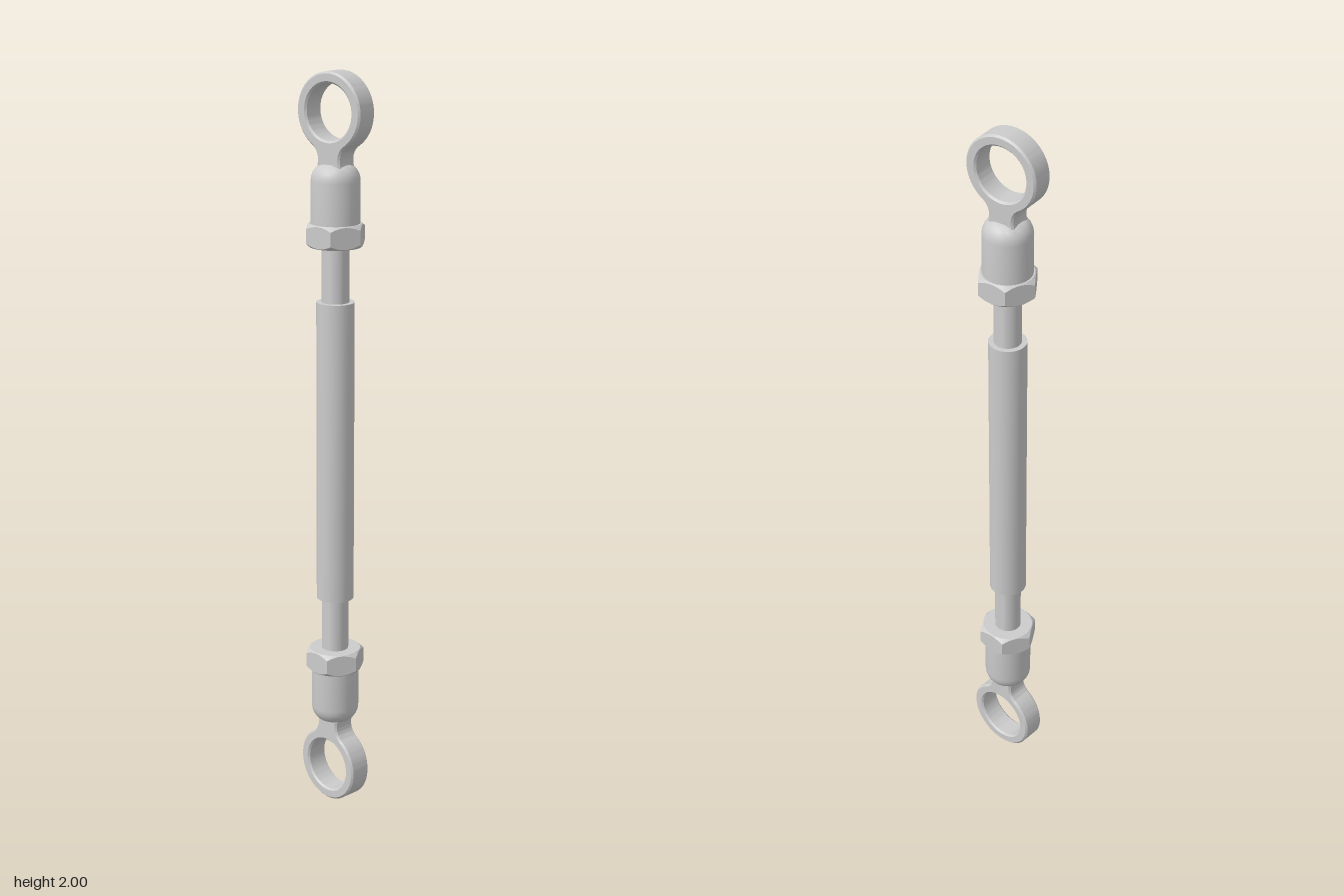
import * as THREE from 'three';
import { toCreasedNormals } from 'three/addons/utils/BufferGeometryUtils.js';

const grey = new THREE.MeshStandardMaterial({ color: 0xcccccc });

function part(name, geometry, y = 0) {
  const mesh = new THREE.Mesh(toCreasedNormals(geometry, 0.6), grey);
  mesh.name = name;
  mesh.position.y = y;
  return mesh;
}

// Flat ring with a waisted neck running down into the cap
function eyeGeometry() {
  const cy = 0.897, R = 0.101, hole = 0.072, thick = 0.064, bevel = 0.005;
  const a = 0.6; // half angle of the neck joint, measured from straight down
  const jx = R * Math.sin(a), jy = cy - R * Math.cos(a);
  const s = new THREE.Shape();
  s.moveTo(0.046, 0.735);
  s.quadraticCurveTo(0.034, 0.765, 0.036, 0.782);
  s.quadraticCurveTo(0.038, 0.802, jx, jy);
  s.absarc(0, cy, R, -Math.PI / 2 + a, Math.PI * 1.5 - a, false);
  s.quadraticCurveTo(-0.038, 0.802, -0.036, 0.782);
  s.quadraticCurveTo(-0.034, 0.765, -0.046, 0.735);
  s.closePath();
  const h = new THREE.Path();
  h.absarc(0, cy, hole, 0, Math.PI * 2, true);
  s.holes.push(h);
  const g = new THREE.ExtrudeGeometry(s, {
    depth: thick - 2 * bevel, curveSegments: 32, bevelEnabled: true,
    bevelThickness: bevel, bevelSize: bevel, bevelOffset: -bevel, bevelSegments: 1,
  });
  g.translate(0, 0, -thick / 2 + bevel);
  return g.rotateY(Math.PI / 2);
}

// Cylindrical cap with a rounded shoulder
function capGeometry() {
  const pts = [[0, 0.6], [0.064, 0.6]].map(p => new THREE.Vector2(...p));
  for (let i = 0; i <= 6; i++) {
    const t = (i / 6) * Math.PI / 2;
    pts.push(new THREE.Vector2(0.024 + 0.04 * Math.cos(t), 0.722 + 0.045 * Math.sin(t)));
  }
  pts.push(new THREE.Vector2(0, 0.769));
  return new THREE.LatheGeometry(pts, 32);
}

// Hexagon nut whose corners are cut by a cone above and below
function nutGeometry() {
  const n = 48, apothem = 0.07, face = 0.068, y0 = 0.554, y1 = 0.614;
  const pos = [], idx = [];
  for (let i = 0; i < n; i++) {
    const t = (i / n) * Math.PI * 2;
    const fromFlat = ((t + Math.PI / 6) % (Math.PI / 3)) - Math.PI / 6;
    const r = apothem / Math.cos(fromFlat), drop = (r - face) * 0.9;
    const rings = [[0, y0], [face, y0], [r, y0 + drop], [r, y1 - drop], [face, y1], [0, y1]];
    for (const [q, y] of rings) pos.push(q * Math.cos(t), y, q * Math.sin(t));
    for (let k = 0; k < 5; k++) {
      const a = i * 6 + k, b = ((i + 1) % n) * 6 + k;
      if (k > 0) idx.push(a, a + 1, b);
      if (k < 4) idx.push(a + 1, b + 1, b);
      if (k === 0) continue;
    }
  }
  const g = new THREE.BufferGeometry();
  g.setAttribute('position', new THREE.Float32BufferAttribute(pos, 3));
  g.setIndex(idx);
  return g;
}

function endFitting(name, yaw) {
  const end = new THREE.Group();
  end.name = name;
  end.add(part('eye', eyeGeometry()), part('cap', capGeometry()), part('nut', nutGeometry()));
  end.rotation.y = yaw;
  return end;
}

export function createModel() {
  const model = new THREE.Group();
  model.name = 'tieRod';

  // Everything hangs on one axis that leans very slightly
  const axis = new THREE.Group();
  axis.name = 'rodAssembly';
  axis.position.set(-0.005, 1.002, 0);
  axis.rotation.set(-0.0055, 0, -0.008);
  model.add(axis);

  axis.add(part('sleeve', new THREE.CylinderGeometry(0.05, 0.05, 0.816, 24)));
  axis.add(part('threadedRod', new THREE.CylinderGeometry(0.036, 0.036, 1.22, 24)));

  // Two identical end fittings, the lower one turned over
  axis.add(endFitting('upperEnd', 0.025));
  const lower = new THREE.Group();
  lower.name = 'lowerHalf';
  lower.rotation.z = Math.PI;
  lower.add(endFitting('lowerEnd', 0.1));
  axis.add(lower);

  return model;
}
